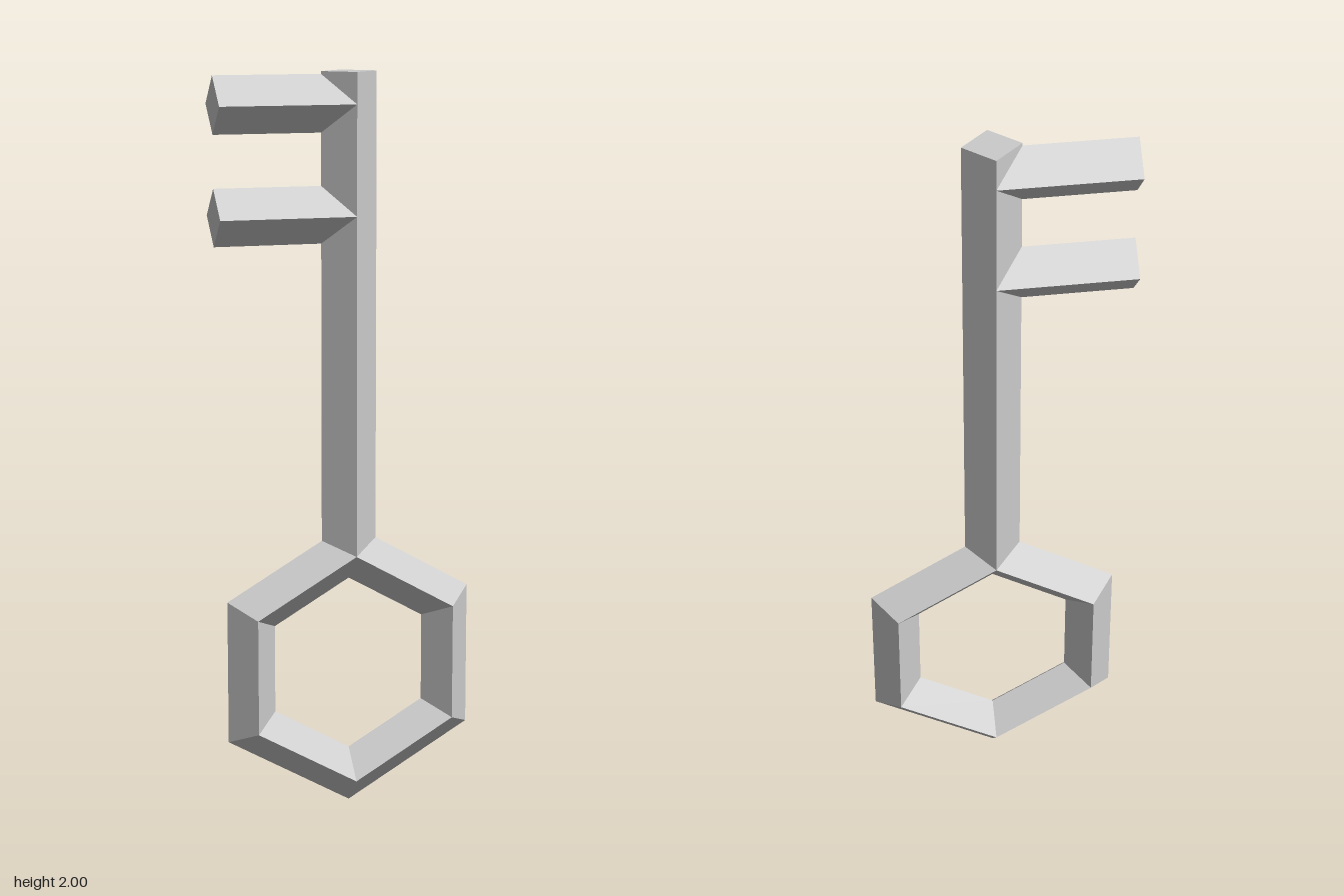
import * as THREE from 'three';

export function createModel() {
  const key = new THREE.Group();
  key.name = 'key';
  const material = new THREE.MeshStandardMaterial({ color: 0xcccccc, flatShading: true });

  const X = 0.013; // shaft axis
  const R = 0.076; // half-width of the diamond section shared by all parts
  const RING_Y = 0.394, RING_R = 0.317;

  const add = (name, geometry, x, y) => {
    const mesh = new THREE.Mesh(geometry, material);
    mesh.name = name;
    mesh.position.set(x, y, 0);
    key.add(mesh);
    return mesh;
  };
  const diamondBar = (length) => new THREE.CylinderGeometry(R, R, length, 4);

  // Hexagonal bow with a corner pointing up
  add('bow', new THREE.TorusGeometry(RING_R, R, 4, 6).rotateZ(Math.PI / 6), X, RING_Y);

  // Shaft, rising from the ridge of the bow's top corner
  const bottom = RING_Y + RING_R;
  add('shaft', diamondBar(2 - bottom), X, (2 + bottom) / 2);

  // Two teeth, running from the shaft axis out to the model's right
  const tip = -0.354;
  [['upperTooth', 1.917], ['lowerTooth', 1.626]].forEach(([name, y]) => {
    add(name, diamondBar(X - tip).rotateZ(Math.PI / 2), (X + tip) / 2, y);
  });

  return key;
}
